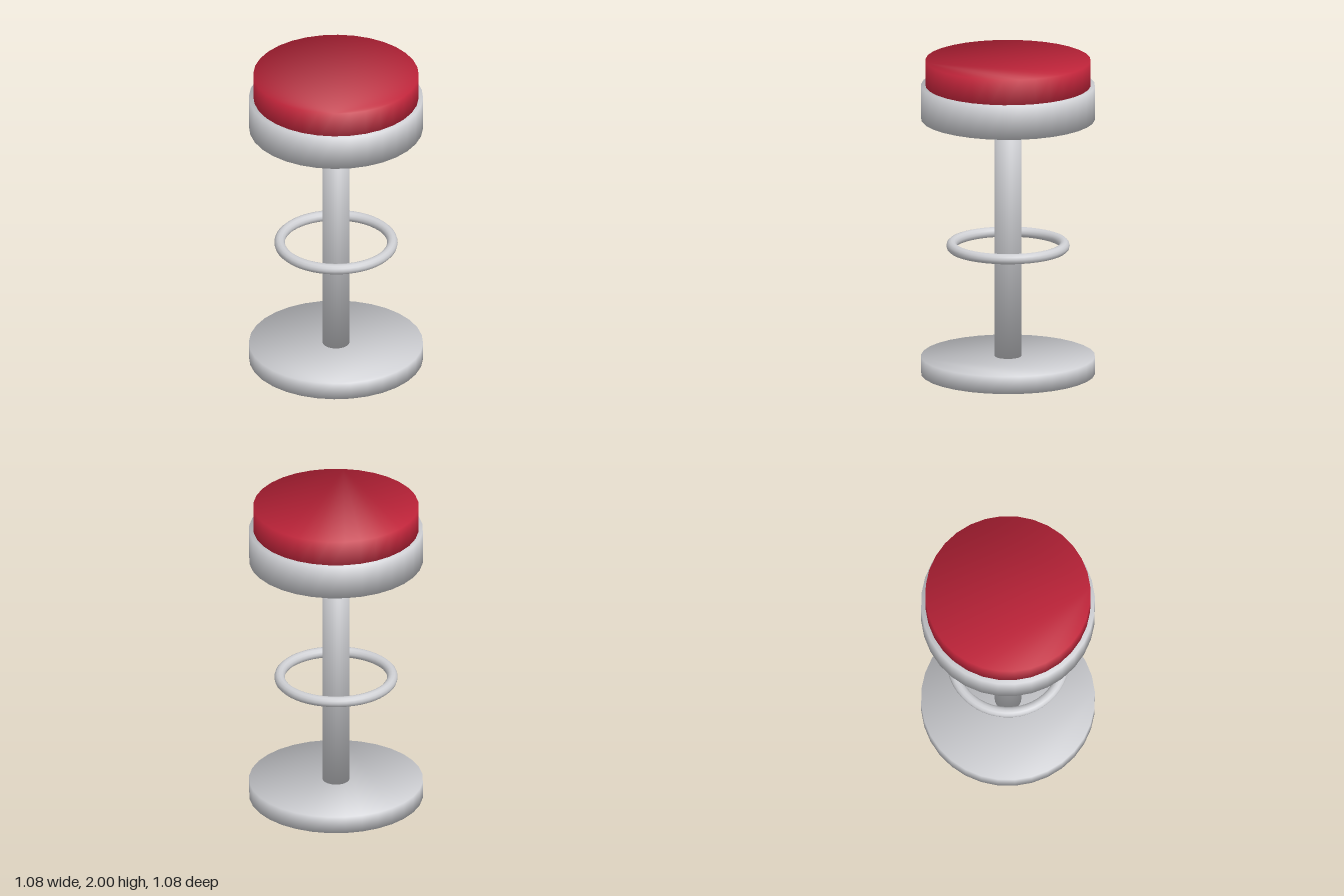
import * as THREE from 'three';

const SIDES = 32;

// Closed disc or post whose soft normals roll over the rims
function softCylinder(radius, bottom, top) {
  const positions = [], normals = [], index = [];
  for (const [y, up] of [[bottom, -1], [top, 1]]) {
    for (let i = 0; i < SIDES; i++) {
      const a = (i / SIDES) * Math.PI * 2;
      const s = Math.sin(a), c = Math.cos(a);
      positions.push(radius * s, y, radius * c);
      normals.push(s * Math.SQRT1_2, up * Math.SQRT1_2, c * Math.SQRT1_2);
    }
  }
  for (let i = 0; i < SIDES; i++) {
    const j = (i + 1) % SIDES;
    index.push(i, j, SIDES + j, i, SIDES + j, SIDES + i); // wall
    if (i > 0 && j > 0) {
      index.push(0, j, i); // underside
      index.push(SIDES, SIDES + i, SIDES + j); // top
    }
  }
  const geometry = new THREE.BufferGeometry();
  geometry.setAttribute('position', new THREE.Float32BufferAttribute(positions, 3));
  geometry.setAttribute('normal', new THREE.Float32BufferAttribute(normals, 3));
  geometry.setIndex(index);
  return geometry;
}

export function createModel() {
  const stool = new THREE.Group();
  stool.name = 'barStool';

  const metal = new THREE.MeshStandardMaterial({ color: 0xcfd0d4 });
  metal.name = 'light grey metal';
  const fabric = new THREE.MeshStandardMaterial({ color: 0xc0243a });
  fabric.name = 'red upholstery';

  const add = (name, geometry, material) => {
    const mesh = new THREE.Mesh(geometry, material);
    mesh.name = name;
    stool.add(mesh);
    return mesh;
  };

  // Floor plate, post and seat
  add('base', softCylinder(0.54, 0, 0.11), metal);
  add('post', softCylinder(0.083, 0.1, 1.64), metal);
  add('seatPan', softCylinder(0.54, 1.625, 1.84), metal);
  add('cushion', softCylinder(0.513, 1.8, 2), fabric);

  // Free-standing foot ring around the post
  const ring = add('footRing', new THREE.TorusGeometry(0.35, 0.033, 12, 48), metal);
  ring.rotation.x = Math.PI / 2;
  ring.position.y = 0.815;

  return stool;
}
